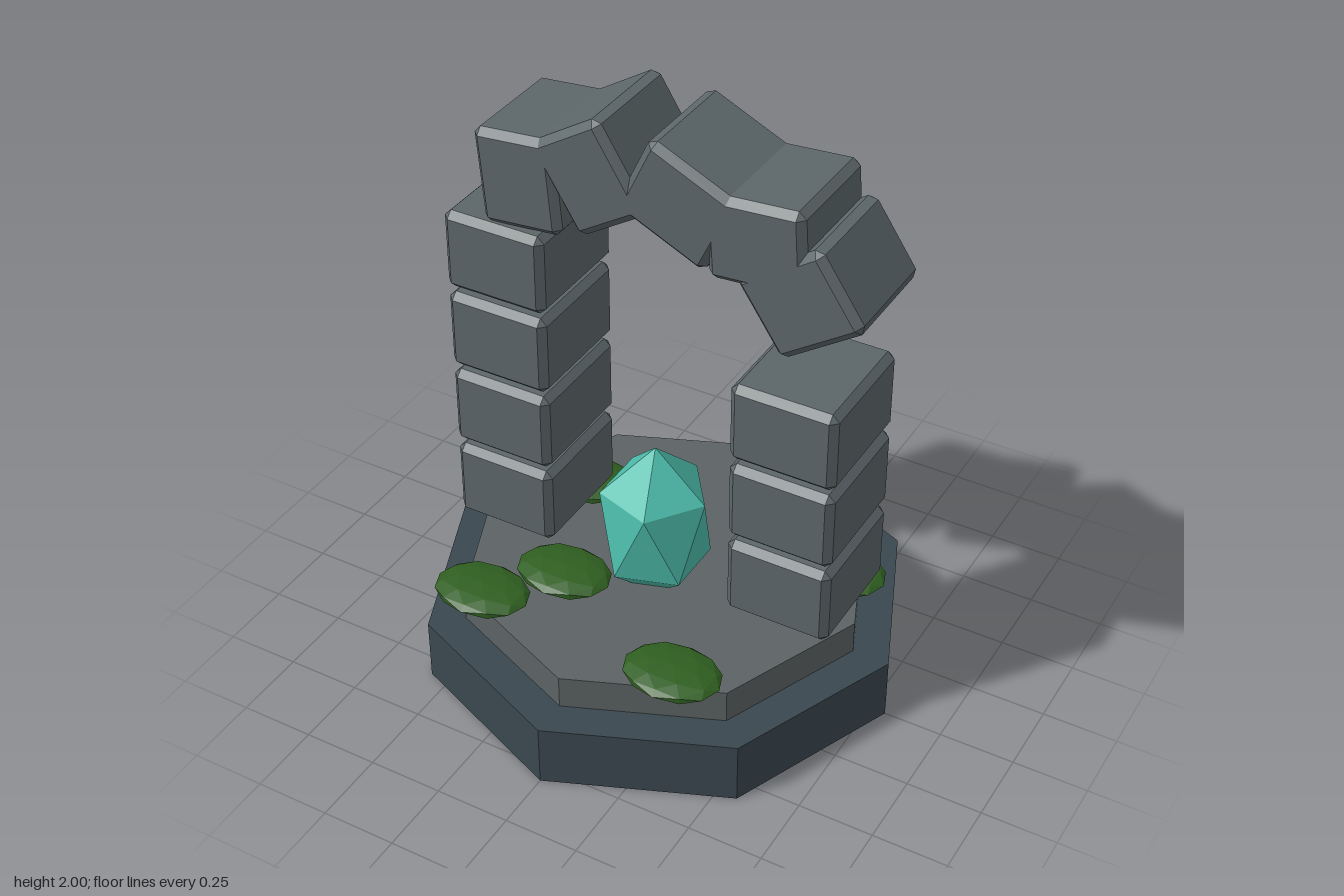
import * as THREE from 'three';
import { ConvexGeometry } from 'three/addons/geometries/ConvexGeometry.js';

const material = (name, color) => {
  const m = new THREE.MeshStandardMaterial({ color });
  m.name = name;
  return m;
};

// Give every face its own normal for a faceted look
const faceted = (geometry) => {
  const g = geometry.index ? geometry.toNonIndexed() : geometry;
  g.computeVertexNormals();
  return g;
};

// Box with all edges and corners chamfered by c
function chamferedBox(w, h, d, c) {
  const points = [];
  for (const sx of [-1, 1]) for (const sy of [-1, 1]) for (const sz of [-1, 1]) {
    const [x, y, z] = [w / 2, h / 2, d / 2];
    points.push(
      new THREE.Vector3(sx * x, sy * (y - c), sz * (z - c)),
      new THREE.Vector3(sx * (x - c), sy * y, sz * (z - c)),
      new THREE.Vector3(sx * (x - c), sy * (y - c), sz * z));
  }
  return new ConvexGeometry(points);
}

// Stretched icosahedron standing on its tip
function crystalGeometry(radius, halfHeight) {
  const points = [new THREE.Vector3(0, halfHeight, 0), new THREE.Vector3(0, -halfHeight, 0)];
  for (let i = 0; i < 10; i++) {
    const a = i * Math.PI / 5;
    const y = (i % 2 ? -1 : 1) * halfHeight * 0.447;
    points.push(new THREE.Vector3(Math.cos(a) * radius, y, Math.sin(a) * radius));
  }
  return new ConvexGeometry(points);
}

export function createModel() {
  const model = new THREE.Group();
  model.name = 'ruinedStoneArch';

  const darkStone = material('dark slate', 0x3a474f);
  const floorStone = material('floor grey', 0x5c6364);
  const stone = material('stone grey', 0x5c6669);
  const moss = material('moss green', 0x2f5f20);
  const teal = material('crystal teal', 0x4dbdac);

  const add = (parent, name, geometry, mat, x, y, z) => {
    const mesh = new THREE.Mesh(geometry, mat);
    mesh.name = name;
    mesh.position.set(x, y, z);
    parent.add(mesh);
    return mesh;
  };
  const group = (name) => {
    const g = new THREE.Group();
    g.name = name;
    model.add(g);
    return g;
  };

  // Octagonal plinth in two steps
  add(model, 'plinth', faceted(new THREE.CylinderGeometry(0.805, 0.805, 0.215, 8)), darkStone, 0, 0.1075, 0);
  add(model, 'floor', faceted(new THREE.CylinderGeometry(0.68, 0.68, 0.115, 8)), floorStone, 0, 0.2725, 0);

  // Pillars: the model's left one is broken off a block short
  const block = chamferedBox(0.355, 0.276, 0.415, 0.023);
  for (const [name, x, count] of [['rightPillar', -0.4975, 4], ['leftPillar', 0.4975, 3]]) {
    const pillar = group(name);
    for (let i = 0; i < count; i++) {
      add(pillar, 'pillarBlock', block, stone, x, 0.532 + i * 0.295, 0);
    }
  }

  // Tumbled arch stones: x, y, width, height, tilt in degrees
  const arch = group('arch');
  const archStones = [
    [-0.41, 1.72, 0.275, 0.32, 5],
    [-0.165, 1.803, 0.275, 0.32, 32],
    [0.13, 1.8, 0.325, 0.285, -25],
    [0.385, 1.745, 0.32, 0.28, 4],
    [0.53, 1.593, 0.32, 0.28, 34],
  ];
  for (const [x, y, w, h, tilt] of archStones) {
    const s = add(arch, 'archStone', chamferedBox(w, h, 0.385, 0.023), stone, x, y, 0);
    s.rotation.z = THREE.MathUtils.degToRad(tilt);
  }

  // Crystal sunk into the floor
  add(model, 'crystal', crystalGeometry(0.179, 0.295), teal, 0, 0.53, 0.08);

  // Flat moss patches
  const patches = group('mossPatches');
  const mossGeometry = faceted(new THREE.IcosahedronGeometry(1, 1));
  const spots = [
    [-0.425, -0.19], [0.37, -0.17], [0.53, -0.18],
    [-0.235, 0.265], [-0.415, 0.472], [0.305, 0.508],
  ];
  for (const [x, z] of spots) {
    add(patches, 'mossPatch', mossGeometry, moss, x, 0.357, z).scale.set(0.164, 0.033, 0.126);
  }

  return model;
}
